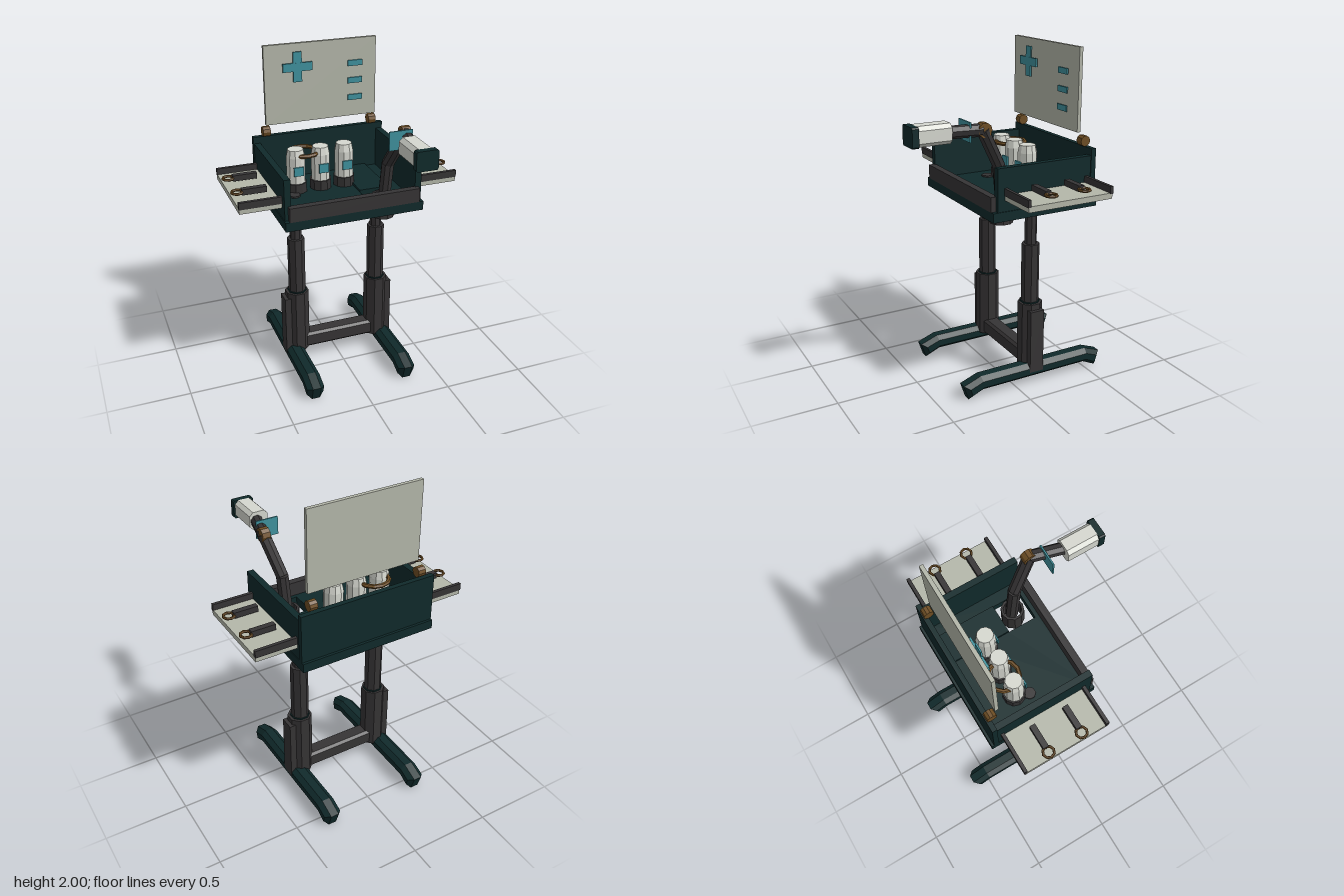
import * as THREE from 'three';

const mat = (name, color) => {
  const m = new THREE.MeshStandardMaterial({ color });
  m.name = name;
  m.flatShading = true;
  return m;
};

export function createModel() {
  const root = new THREE.Group();
  root.name = 'workstation';
  const green = mat('darkGreen', 0x102a2b);
  const grey = mat('darkGrey', 0x363435);
  const panel = mat('paleGrey', 0xb4b7aa);
  const white = mat('offWhite', 0xd6d8d0);
  const teal = mat('teal', 0x3f929e);
  const brass = mat('brass', 0x6e4e24);

  const add = (name, geo, m, x = 0, y = 0, z = 0) => {
    const mesh = new THREE.Mesh(geo, m);
    mesh.name = name;
    mesh.position.set(x, y, z);
    root.add(mesh);
    return mesh;
  };
  // box given by its limits on each axis
  const box = (name, m, x0, x1, y0, y1, z0, z1) =>
    add(name, new THREE.BoxGeometry(x1 - x0, y1 - y0, z1 - z0), m,
      (x0 + x1) / 2, (y0 + y1) / 2, (z0 + z1) / 2);
  // upright faceted post with a flat facing each axis
  const post = (name, m, x, z, r, y0, y1, sides = 8, rTop = r) => {
    const k = Math.cos(Math.PI / sides);
    const geo = new THREE.CylinderGeometry(rTop / k, r / k, y1 - y0, sides);
    geo.rotateY(Math.PI / sides);
    return add(name, geo, m, x, (y0 + y1) / 2, z);
  };
  // faceted bar between two points
  const bar = (name, m, a, b, r) => {
    const p = new THREE.Vector3(...a), q = new THREE.Vector3(...b);
    const d = q.clone().sub(p);
    const mesh = add(name, new THREE.CylinderGeometry(r, r, d.length(), 8), m);
    mesh.position.copy(p).add(q).multiplyScalar(0.5);
    mesh.quaternion.setFromUnitVectors(new THREE.Vector3(0, 1, 0), d.normalize());
    return mesh;
  };
  // rectangle with cut corners, extruded along z
  const chamferBox = (w, h, d, c) => {
    const X = w / 2, Y = h / 2;
    const s = new THREE.Shape([[X - c, -Y], [X, c - Y], [X, Y - c], [X - c, Y],
      [c - X, Y], [-X, Y - c], [-X, c - Y], [c - X, -Y]].map(p => new THREE.Vector2(...p)));
    return new THREE.ExtrudeGeometry(s, { depth: d, bevelEnabled: false }).translate(0, 0, -d / 2);
  };

  // feet, telescopic legs and crossbar
  const footProfile = new THREE.Shape([[0.345, 0.095], [0.315, 0.005], [0.22, 0.045], [-0.49, 0.045],
    [-0.575, 0.005], [-0.605, 0.095], [-0.5, 0.135], [0.235, 0.135]].map(p => new THREE.Vector2(...p)));
  for (const s of [-1, 1]) {
    const foot = new THREE.ExtrudeGeometry(footProfile, {
      depth: 0.05, bevelSize: 0.025, bevelThickness: 0.029, bevelOffset: -0.025, bevelSegments: 1 });
    foot.translate(0, 0, -0.025).rotateY(-Math.PI / 2);
    add('foot', foot, green, s * 0.3, 0, 0);
    post('lowerLeg', grey, s * 0.265, -0.13, 0.068, 0.1, 0.515);
    box('legCover', grey, s * 0.325 - 0.03, s * 0.325 + 0.03, 0.085, 0.48, -0.175, -0.085);
    post('legCollar', green, s * 0.262, -0.13, 0.055, 0.51, 0.522);
    post('middleLeg', grey, s * 0.262, -0.13, 0.049, 0.5, 0.88);
    post('upperLeg', grey, s * 0.262, -0.13, 0.033, 0.86, 1.165);
  }
  add('crossbar', chamferBox(0.1, 0.1, 0.44, 0.015).rotateY(Math.PI / 2), grey, 0, 0.15, -0.13);

  // tray floor with an opening for the lamp socket
  const floor = new THREE.Shape([[-0.42, -0.205], [0.42, -0.205], [0.42, 0.47], [-0.42, 0.47]]
    .map(p => new THREE.Vector2(...p)));
  floor.holes.push(new THREE.Path([[0.12, -0.14], [0.12, 0.04], [0.305, 0.04], [0.305, -0.14]]
    .map(p => new THREE.Vector2(...p))));
  add('trayFloor', new THREE.ExtrudeGeometry(floor, { depth: 0.055, bevelEnabled: false })
    .rotateX(-Math.PI / 2), green, 0, 1.1, 0);
  box('rearPad', green, 0.12, 0.305, 1.15, 1.17, -0.43, -0.04);
  box('backWall', green, -0.42, 0.42, 1.15, 1.44, -0.455, -0.425);
  box('frontRail', grey, -0.395, 0.395, 1.155, 1.24, 0.165, 0.207);

  for (const s of [-1, 1]) {
    const span = (name, m, a, b, ...rest) =>
      box(name, m, Math.min(s * a, s * b), Math.max(s * a, s * b), ...rest);
    span('sideWall', green, 0.377, 0.415, 1.15, 1.4, -0.43, 0.175);
    // side shelf with rails
    span('sideShelf', panel, 0.41, 0.66, 1.217, 1.25, -0.4, 0.13);
    span('shelfRail', grey, 0.41, 0.662, 1.245, 1.287, -0.405, -0.385);
    span('shelfRail', grey, 0.41, 0.662, 1.245, 1.287, 0.115, 0.135);
    // tools with ring handles
    for (const z of [-0.235, -0.025]) {
      span('toolShaft', grey, 0.46, 0.605, 1.265, 1.3, z - 0.017, z + 0.017);
      add('toolRing', new THREE.TorusGeometry(0.032, 0.008, 6, 8).rotateX(Math.PI / 2),
        brass, s * 0.63, 1.283, z);
    }
    // board hinge
    add('hinge', new THREE.CylinderGeometry(0.031, 0.031, 0.046, 10).rotateZ(Math.PI / 2),
      brass, s * 0.34, 1.473, -0.422);
  }

  // upright board with cross and bars
  box('board', panel, -0.35, 0.347, 1.525, 2, -0.395, -0.373);
  box('crossUpright', teal, -0.18, -0.127, 1.777, 1.955, -0.357, -0.348);
  box('crossArm', teal, -0.243, -0.063, 1.84, 1.89, -0.358, -0.347);
  for (const y of [1.645, 1.75, 1.855])
    box('boardBar', teal, 0.162, 0.254, y - 0.017, y + 0.017, -0.364, -0.355);

  // jars in their holders
  for (const x of [-0.225, -0.07, 0.08]) {
    post('jarHolder', grey, x, -0.21, 0.063, 1.15, 1.215, 10);
    post('jar', white, x, -0.21, 0.055, 1.2, 1.375, 10);
    post('jarShoulder', white, x, -0.21, 0.055, 1.375, 1.42, 10, 0.046);
    box('jarLabel', teal, x - 0.03, x + 0.03, 1.27, 1.325, -0.152, -0.143);
  }
  add('carryRing', new THREE.TorusGeometry(0.088, 0.013, 6, 12).rotateX(Math.PI / 2),
    brass, -0.165, 1.385, -0.238);

  // open socket and jointed lamp arm
  const socket = [[0.055, 1.03], [0.07, 1.03], [0.07, 1.165], [0.055, 1.165], [0.055, 1.03]]
    .map(p => new THREE.Vector2(...p));
  add('lampSocket', new THREE.LatheGeometry(socket, 10), grey, 0.23, 0, 0.05);
  const kink = [0.245, 1.37, 0.075], elbow = [0.29, 1.59, 0.2];
  bar('armPost', grey, [0.235, 1.1, 0.045], kink, 0.038);
  bar('armUpper', grey, kink, elbow, 0.037);
  bar('armFore', grey, elbow, [0.24, 1.585, 0.39], 0.036);
  add('armJoint', new THREE.CylinderGeometry(0.042, 0.042, 0.05, 10).rotateZ(Math.PI / 2),
    brass, 0.29, 1.59, 0.195);

  // lamp head
  box('lampPlate', teal, 0.16, 0.298, 1.528, 1.638, 0.27, 0.279);
  add('lampBody', chamferBox(0.115, 0.112, 0.195, 0.022), white, 0.228, 1.585, 0.475);
  add('lampCap', chamferBox(0.128, 0.112, 0.038, 0.008), green, 0.23, 1.585, 0.59);
  return root;
}
